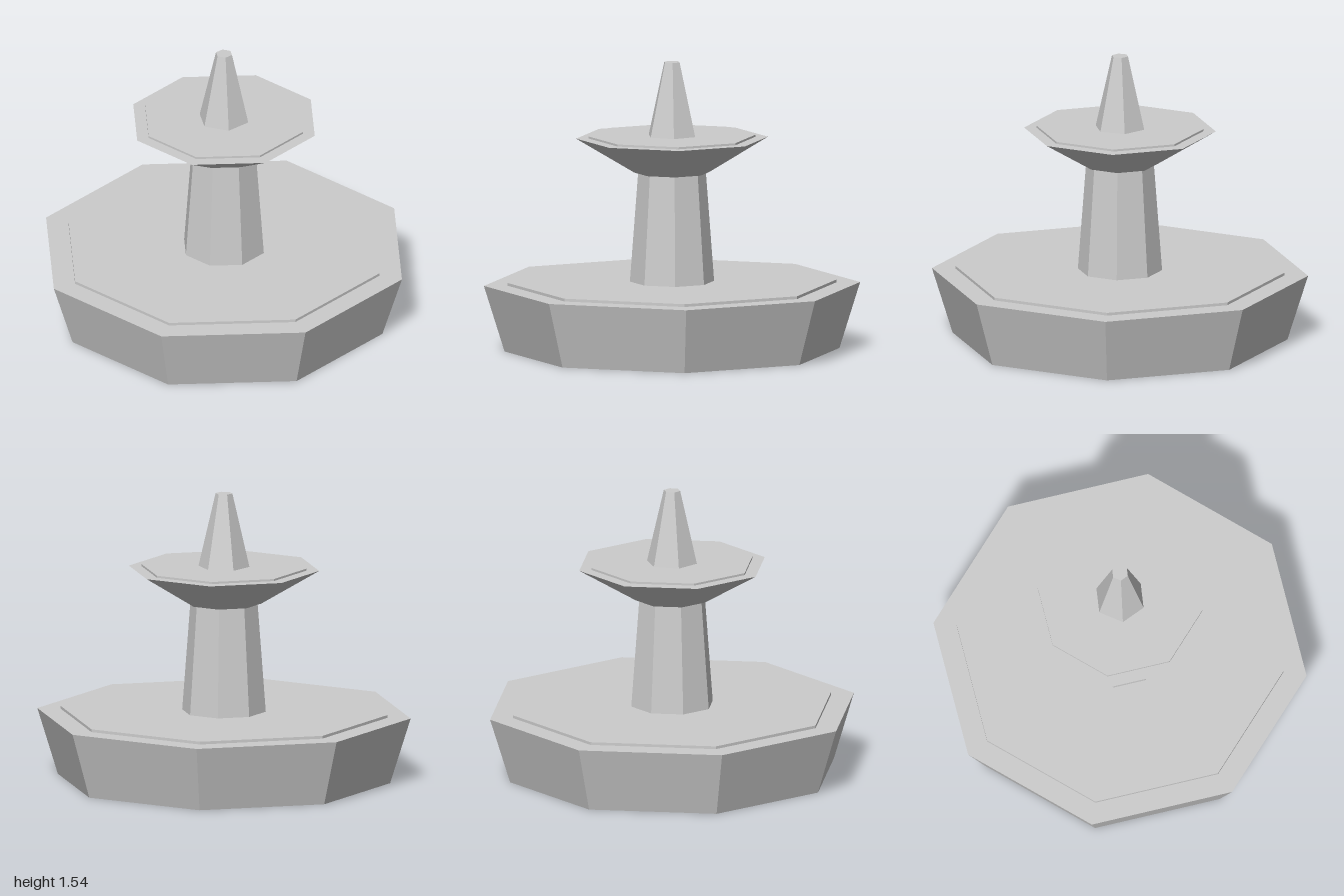
import * as THREE from 'three';

export function createModel() {
  const fountain = new THREE.Group();
  fountain.name = 'fountain';

  const stone = new THREE.MeshStandardMaterial({ color: 0xcccccc, flatShading: true });
  stone.name = 'stone';

  // Faceted, tapered tier standing between two heights
  function tier(name, bottomRadius, topRadius, bottom, top, sides = 8) {
    const geometry = new THREE.CylinderGeometry(topRadius, bottomRadius, top - bottom, sides);
    const mesh = new THREE.Mesh(geometry, stone);
    mesh.name = name;
    mesh.position.y = (bottom + top) / 2;
    fountain.add(mesh);
    return mesh;
  }

  // Lower pool
  tier('basin', 0.89, 1, 0, 0.352);
  tier('basinWater', 0.875, 0.875, 0.33, 0.367);

  // Pedestal and upper bowl
  tier('column', 0.225, 0.18, 0.352, 0.95);
  tier('bowl', 0.2, 0.51, 0.95, 1.135);
  tier('bowlWater', 0.443, 0.443, 1.11, 1.146);

  // Six-sided spire with corners on the x axis
  const spire = tier('spire', 0.139, 0.045, 1.135, 1.54, 6);
  spire.rotation.y = Math.PI / 6;

  return fountain;
}
